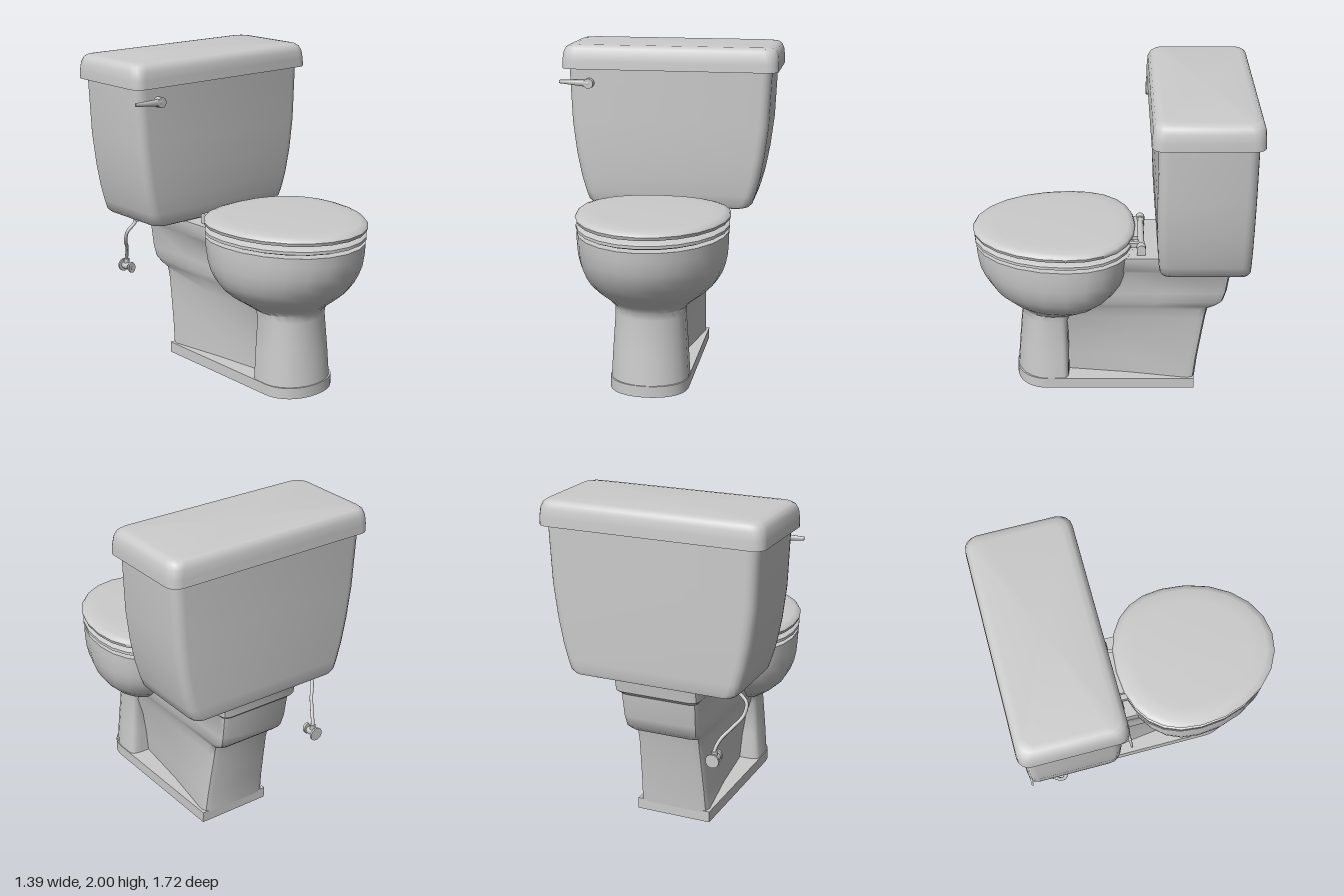
import * as THREE from 'three';
import { toCreasedNormals } from 'three/addons/utils/BufferGeometryUtils.js';

const material = new THREE.MeshStandardMaterial({ color: 0xcccccc });

function add(parent, name, geometry, x = 0, y = 0, z = 0) {
  const mesh = new THREE.Mesh(geometry, material);
  mesh.name = name;
  mesh.position.set(x, y, z);
  parent.add(mesh);
  return mesh;
}

// Skins a stack of [x, y, z] rings, each counterclockwise seen from above
function loft(rings, capBottom = true, capTop = true, crease = 0.7) {
  const n = rings[0].length;
  const position = rings.flat(2);
  const index = [];
  for (let i = 0; i < rings.length - 1; i++) {
    for (let j = 0; j < n; j++) {
      const a = i * n + j, b = i * n + (j + 1) % n;
      index.push(a, b, a + n, b, b + n, a + n);
    }
  }
  const cap = (start, ring, up) => {
    const c = position.length / 3;
    position.push(...[0, 1, 2].map(k => ring.reduce((s, p) => s + p[k], 0) / n));
    for (let j = 0; j < n; j++) {
      const a = start + j, b = start + (j + 1) % n;
      index.push(c, up ? a : b, up ? b : a);
    }
  };
  if (capBottom) cap(0, rings[0], false);
  if (capTop) cap((rings.length - 1) * n, rings[rings.length - 1], true);
  const g = new THREE.BufferGeometry();
  g.setAttribute('position', new THREE.Float32BufferAttribute(position, 3));
  g.setIndex(index);
  return toCreasedNormals(g, crease);
}

// Egg outline: widest at zc, reaching zf in front and zb behind; a small power squares off the back
function egg(y, hw, zf, zb, zc = 0.27, power = 0.88) {
  const ring = [];
  for (let i = 0; i < 24; i++) {
    const t = i / 24 * Math.PI * 2, s = Math.sin(t), c = Math.cos(t);
    const p = c < -1e-6 ? power : 1;
    const x = Math.sign(s) * Math.abs(s) ** p * hw;
    ring.push([x, y, zc + (c > 0 ? c * (zf - zc) : -(Math.abs(c) ** p) * (zc - zb))]);
  }
  return ring;
}

// Rounded rectangle outline
function roundRect(y, hw, zf, zb, r) {
  const ring = [];
  const corners = [[1, 1], [1, -1], [-1, -1], [-1, 1]];
  corners.forEach(([sx, sz], q) => {
    for (let i = 0; i <= 4; i++) {
      const t = (q + i / 4) * Math.PI / 2;
      ring.push([sx * (hw - r) + r * Math.sin(t), y, (sz > 0 ? zf - r : zb + r) + r * Math.cos(t)]);
    }
  });
  return ring;
}

// Wedge outline: half width wf in front, wr behind, with softened rear corners
function wedge(y, wf, wr, zf, zb) {
  const half = [[wf, zf], [(wf * 0.55 + wr * 0.45), (zf + zb) / 2], [wr, zb + 0.05],
    [wr - 0.012, zb + 0.014], [wr - 0.045, zb]];
  return [...half, ...half.map(([x, z]) => [-x, z]).reverse()].map(([x, z]) => [x, y, z]);
}

function buildBowl(group) {
  // Bowl and front column in one skin, turning over the rim into the basin
  const rows = [
    [0.01, 0.24, 0.61, 0.27, 0.4, 0.25], [0.25, 0.226, 0.59, 0.27, 0.4, 0.25],
    [0.47, 0.212, 0.57, 0.27, 0.39, 0.3], [0.515, 0.218, 0.575, 0.24, 0.37, 0.45],
    [0.55, 0.262, 0.605, 0.15, 0.33, 0.6], [0.6, 0.335, 0.67, 0.05, 0.3, 0.8],
    [0.65, 0.388, 0.73, -0.02, 0.28], [0.7, 0.42, 0.77, -0.06, 0.27],
    [0.76, 0.442, 0.805, -0.1, 0.27], [0.82, 0.454, 0.83, -0.12, 0.27],
    [0.9, 0.46, 0.845, -0.14, 0.27], [0.96, 0.46, 0.85, -0.15, 0.27],
    [0.96, 0.35, 0.72, 0, 0.27], [0.85, 0.34, 0.7, 0.02, 0.27],
    [0.7, 0.27, 0.6, 0.1, 0.27], [0.62, 0.15, 0.45, 0.18, 0.27]
  ];
  add(group, 'bowl', loft(rows.map(r => egg(...r)), false));

  // Base plate with the drain outlet
  const plate = new THREE.Shape();
  plate.moveTo(-0.24, 0.53);
  plate.lineTo(-0.24, -0.4);
  plate.bezierCurveTo(-0.24, -0.54, -0.13, -0.61, 0, -0.61);
  plate.bezierCurveTo(0.13, -0.61, 0.24, -0.54, 0.24, -0.4);
  plate.lineTo(0.24, 0.53);
  plate.closePath();
  const outlet = new THREE.Path();
  outlet.absarc(0, 0.2, 0.1, 0, Math.PI * 2, true);
  plate.holes.push(outlet);
  const plateGeometry = new THREE.ExtrudeGeometry(plate, { depth: 0.07, bevelEnabled: false, curveSegments: 12 });
  add(group, 'basePlate', toCreasedNormals(plateGeometry.rotateX(-Math.PI / 2), 0.6));

  // Recessed trapway web, swelling up into the deck below the tank
  const body = [
    [0.06, 0.1, 0.225, 0.35, -0.535], [0.2, 0.115, 0.22, 0.35, -0.55],
    [0.35, 0.14, 0.215, 0.35, -0.572], [0.5, 0.185, 0.21, 0.33, -0.595],
    [0.57, 0.21, 0.212, 0.22, -0.61], [0.595, 0.222, 0.222, 0.16, -0.66],
    [0.63, 0.235, 0.235, 0.1, -0.7], [0.7, 0.242, 0.242, 0.03, -0.72],
    [0.85, 0.247, 0.247, -0.05, -0.74], [0.875, 0.268, 0.268, -0.05, -0.768],
    [0.959, 0.272, 0.272, -0.05, -0.78]
  ];
  add(group, 'trapwayAndDeck', loft(body.map(r => wedge(...r))));
}

function buildSeat(group) {
  // Seat ring: outline swept round a small closed section
  const seat = [
    [0.975, 0.44, 0.83, -0.12], [0.985, 0.465, 0.855, -0.145], [1.003, 0.465, 0.855, -0.145],
    [1.015, 0.44, 0.83, -0.12], [1.015, 0.3, 0.66, 0.05], [0.975, 0.3, 0.66, 0.05],
    [0.975, 0.44, 0.83, -0.12]
  ];
  add(group, 'seat', loft(seat.map(r => egg(...r)), false, false, 0.9));

  const cover = [
    [1.03, 0.44, 0.83, -0.12], [1.035, 0.463, 0.855, -0.145], [1.055, 0.47, 0.862, -0.15],
    [1.07, 0.46, 0.85, -0.142], [1.079, 0.43, 0.815, -0.11], [1.083, 0.35, 0.73, -0.03]
  ];
  add(group, 'seatCover', loft(cover.map(r => egg(...r)), true, true, 0.9));

  // Bumpers under the seat and cover, and the hinges
  for (const side of [-1, 1]) {
    for (const y of [0.967, 1.022]) {
      add(group, 'bumper', new THREE.BoxGeometry(0.04, 0.022, 0.07), side * 0.36, y, 0.22);
      add(group, 'bumper', new THREE.BoxGeometry(0.05, 0.022, 0.04), side * 0.17, y, 0.68);
    }
    const post = new THREE.CylinderGeometry(0.028, 0.028, 0.05, 12).rotateZ(Math.PI / 2);
    add(group, 'hingeKnuckle', post, side * 0.205, 1, -0.185);
    add(group, 'hingePost', new THREE.BoxGeometry(0.045, 0.05, 0.05), side * 0.205, 0.98, -0.185);
    add(group, 'hingeArm', new THREE.BoxGeometry(0.035, 0.03, 0.13), side * 0.155, 1.0, -0.14);
  }
  add(group, 'hingeBar', new THREE.CylinderGeometry(0.02, 0.02, 0.38, 12).rotateZ(Math.PI / 2), 0, 1, -0.185);
  add(group, 'coverTab', new THREE.BoxGeometry(0.28, 0.025, 0.06), 0, 1.035, -0.135);
}

function buildTank(group) {
  const tank = [
    [0.96, 0.48, -0.31, -0.81, 0.05], [0.967, 0.51, -0.297, -0.825, 0.06],
    [0.99, 0.535, -0.288, -0.83, 0.06], [1.05, 0.555, -0.28, -0.83, 0.06],
    [1.15, 0.582, -0.273, -0.83, 0.06], [1.3, 0.61, -0.267, -0.83, 0.06],
    [1.5, 0.635, -0.265, -0.83, 0.06], [1.86, 0.652, -0.265, -0.83, 0.06]
  ];
  add(group, 'tank', loft(tank.map(r => roundRect(...r))));

  const lid = [
    [1.85, 0.692, -0.225, -0.862, 0.07], [1.9, 0.692, -0.228, -0.86, 0.07],
    [1.95, 0.687, -0.232, -0.857, 0.075], [1.98, 0.675, -0.245, -0.847, 0.075],
    [1.995, 0.655, -0.265, -0.832, 0.07], [2, 0.62, -0.3, -0.8, 0.06]
  ];
  add(group, 'tankLid', loft(lid.map(r => roundRect(...r))));

  // Flush lever
  add(group, 'leverBoss', new THREE.CylinderGeometry(0.032, 0.032, 0.05, 14).rotateX(Math.PI / 2), -0.51, 1.76, -0.245);
  const lever = add(group, 'lever', new THREE.CylinderGeometry(0.011, 0.024, 0.19, 10), -0.605, 1.765, -0.232);
  lever.rotation.z = Math.PI / 2 - 0.04;
  lever.scale.z = 0.6;
}

function buildSupply(group) {
  const path = new THREE.CatmullRomCurve3([
    [-0.43, 0.98, -0.6], [-0.46, 0.92, -0.6], [-0.51, 0.87, -0.61], [-0.505, 0.8, -0.64],
    [-0.46, 0.74, -0.69], [-0.41, 0.68, -0.76], [-0.39, 0.62, -0.795], [-0.39, 0.57, -0.795]
  ].map(p => new THREE.Vector3(...p)));
  add(group, 'supplyHose', new THREE.TubeGeometry(path, 32, 0.011, 8));

  // Stop valve on the wall: flange, body, nut and oval knob
  const round = (name, r, length, y, z) =>
    add(group, name, new THREE.CylinderGeometry(r, r, length, 14).rotateX(Math.PI / 2), -0.39, y, z);
  round('wallFlange', 0.042, 0.012, 0.57, -0.826);
  round('valveBody', 0.024, 0.06, 0.57, -0.79);
  round('valveStem', 0.012, 0.06, 0.57, -0.76);
  round('valveKnob', 0.036, 0.016, 0.57, -0.742).scale.x = 0.7;
  add(group, 'hoseNut', new THREE.CylinderGeometry(0.018, 0.018, 0.03, 6), -0.39, 0.605, -0.795);
  add(group, 'tankNut', new THREE.CylinderGeometry(0.03, 0.03, 0.035, 8), -0.432, 0.95, -0.6);
}

export function createModel() {
  const model = new THREE.Group();
  model.name = 'toilet';
  const parts = { bowlAssembly: buildBowl, seatAssembly: buildSeat, tankAssembly: buildTank, waterSupply: buildSupply };
  for (const [name, build] of Object.entries(parts)) {
    const group = new THREE.Group();
    group.name = name;
    build(group);
    model.add(group);
  }
  return model;
}
